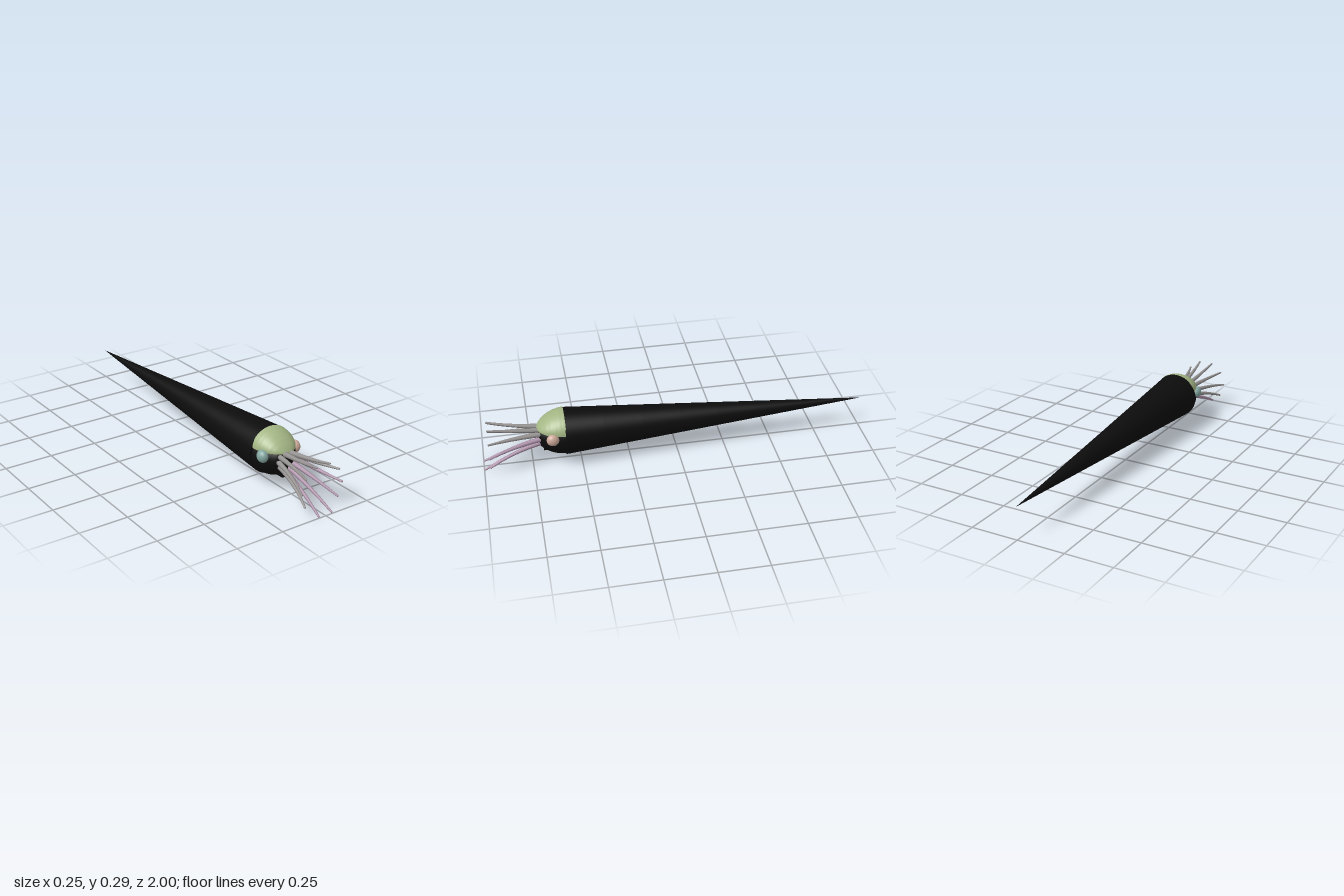
import * as THREE from 'three';

const mat = (name, color, side = THREE.FrontSide) => {
  const m = new THREE.MeshStandardMaterial({ color, side });
  m.name = name;
  return m;
};

// Tube along a curve, shrinking from r0 to r1, with a rounded tip
function taperedTube(curve, r0, r1, segments = 20, sides = 12) {
  const geo = new THREE.TubeGeometry(curve, segments, 1, sides, false);
  const pos = geo.attributes.position;
  const p = new THREE.Vector3();
  for (let i = 0; i <= segments; i++) {
    const t = i / segments;
    const c = curve.getPointAt(t);
    const r = THREE.MathUtils.lerp(r0, r1, t);
    for (let j = 0; j <= sides; j++) {
      const k = i * (sides + 1) + j;
      p.fromBufferAttribute(pos, k).sub(c).multiplyScalar(r).add(c);
      pos.setXYZ(k, p.x, p.y, p.z);
    }
  }
  geo.computeVertexNormals();
  return geo;
}

export function createModel() {
  const model = new THREE.Group();
  model.name = 'straightShelledCephalopod';
  const black = mat('shellBlack', 0x0c0c0c);
  const green = mat('hoodGreen', 0xa3b584, THREE.DoubleSide);
  const grey = mat('armGrey', 0x959191);
  const mauve = mat('armMauve', 0xa88ca4);
  const peach = mat('eyePeach', 0xcba898);
  const teal = mat('eyeTeal', 0x84a6a0);

  const add = (name, geo, material, x = 0, y = 0, z = 0, parent = model) => {
    const mesh = new THREE.Mesh(geo, material);
    mesh.name = name;
    mesh.position.set(x, y, z);
    parent.add(mesh);
    return mesh;
  };

  // Long conical shell, pointing backwards
  add('shell', new THREE.ConeGeometry(0.121, 1.58, 64, 8).rotateX(-Math.PI / 2), black, 0, 0.168, -0.21);

  // Blunt head emerging from the shell opening
  const profile = [[0.112, 0.56], [0.108, 0.6], [0.101, 0.635], [0.088, 0.665], [0.068, 0.695], [0.048, 0.713], [0, 0.716]]
    .map(([r, z]) => new THREE.Vector2(r, z));
  add('head', new THREE.LatheGeometry(profile, 48).rotateX(Math.PI / 2), black, 0, 0.16, 0);

  // Funnel below the head
  add('funnel', new THREE.CylinderGeometry(0.023, 0.028, 0.12, 24).rotateX(Math.PI / 2), black, 0, 0.086, 0.63);

  // Domed hood with faint growth ridges
  const hood = new THREE.PlaneGeometry(1, 1, 40, 32);
  const hp = hood.attributes.position;
  for (let i = 0; i < hp.count; i++) {
    const a = (hp.getX(i) + 0.5) * Math.PI;
    const t = Math.sin((hp.getY(i) + 0.5) * Math.PI / 2);
    const ridge = 1 + 0.006 * Math.sin(t * 40);
    const w = 0.107 * Math.sqrt(Math.max(0, 1 - t * t)) * ridge;
    const h = 0.086 * Math.pow(Math.max(0, 1 - Math.pow(t, 1.8)), 0.75) * ridge;
    hp.setXYZ(i, w * Math.cos(a), 0.204 + h * Math.sin(a), 0.577 + 0.143 * t);
  }
  hood.computeVertexNormals();
  add('hood', hood, green);

  // Eyes
  for (const [name, s, m] of [['leftEye', 1, peach], ['rightEye', -1, teal]]) {
    add(name, new THREE.SphereGeometry(0.032, 28, 20), m, s * 0.096, 0.184, 0.645).scale.x = 0.8;
  }

  // Five pairs of arms: root x, root y, tip x, tip y, tip z, left and right colours
  const arms = [
    [0.016, 0.198, 0.038, 0.242, 0.965, grey, grey],
    [0.036, 0.186, 0.097, 0.198, 0.965, grey, grey],
    [0.044, 0.163, 0.119, 0.127, 0.965, mauve, grey],
    [0.037, 0.139, 0.097, 0.058, 0.965, mauve, grey],
    [0.014, 0.123, 0.038, 0.006, 0.995, mauve, mauve],
  ];
  arms.forEach(([rx, ry, tx, ty, tz, left, right], i) => {
    for (const s of [1, -1]) {
      const arm = new THREE.Group();
      arm.name = `${s > 0 ? 'left' : 'right'}Arm${i + 1}`;
      model.add(arm);
      const m = s > 0 ? left : right;
      const curve = new THREE.QuadraticBezierCurve3(
        new THREE.Vector3(s * rx, ry, 0.69),
        new THREE.Vector3(s * (rx + (tx - rx) * 0.3), ry + (ty - ry) * 0.3, 0.84),
        new THREE.Vector3(s * tx, ty, tz));
      add('armShaft', taperedTube(curve, 0.0135, 0.005), m, 0, 0, 0, arm);
      add('armTip', new THREE.SphereGeometry(0.005, 12, 8), m, s * tx, ty, tz, arm);
    }
  });

  return model;
}
